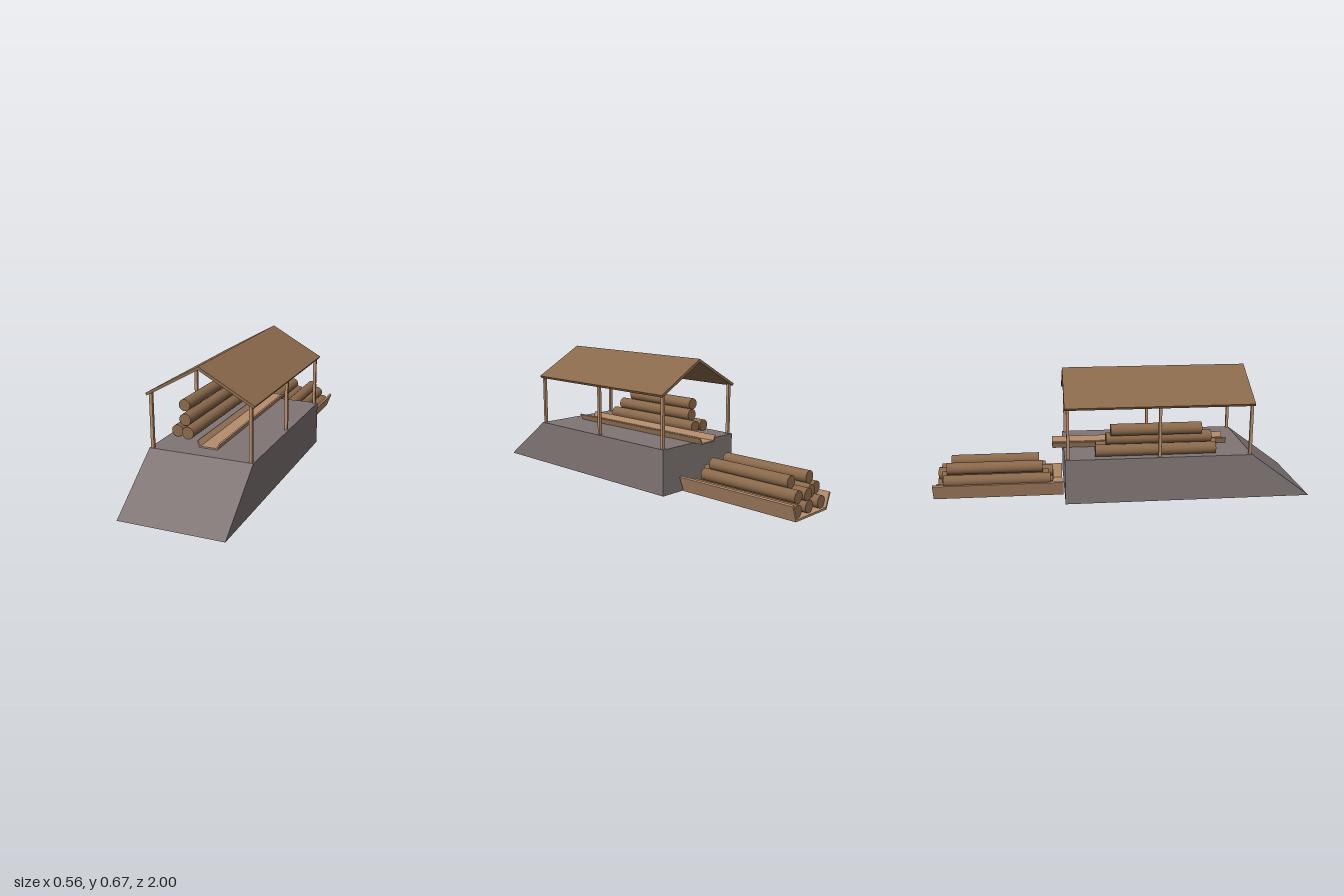
import * as THREE from 'three';

const stone = new THREE.MeshStandardMaterial({ color: 0x7f7574 });
stone.name = 'stone grey';
const darkWood = new THREE.MeshStandardMaterial({ color: 0x8a694b });
darkWood.name = 'dark wood';
const lightWood = new THREE.MeshStandardMaterial({ color: 0xb58d6c });
lightWood.name = 'light wood';

// Extrudes a 2D outline along z between two z positions
function prism(points, z0, z1) {
  const shape = new THREE.Shape(points.map(([x, y]) => new THREE.Vector2(x, y)));
  const geo = new THREE.ExtrudeGeometry(shape, { depth: z1 - z0, bevelEnabled: false });
  return geo.translate(0, 0, z0);
}

function add(parent, name, geometry, material) {
  const mesh = new THREE.Mesh(geometry, material);
  mesh.name = name;
  parent.add(mesh);
  return mesh;
}

// Mirrors the right half of an outline across x = 0
const mirrored = (half) => [...half, ...half.slice().reverse().map(([x, y]) => [-x, y])];

// Open trough with flared walls; half outline runs from bottom, up the wall, to inner floor
function troughOutline(floor, top, height, t, y) {
  return mirrored([
    [floor, y], [top, y + height - t * 0.5], [top - t, y + height], [floor - t * 0.65, y + t],
  ]);
}

// Log lying along z
function addLog(parent, [x, y, z0, z1], radius) {
  const geo = new THREE.CylinderGeometry(radius, radius, z1 - z0, 24);
  geo.rotateX(Math.PI / 2);
  add(parent, 'log', geo, darkWood).position.set(x, y, (z0 + z1) / 2);
}

export function createModel() {
  const model = new THREE.Group();
  model.name = 'logShelter';

  // Stone platform with a sloping front
  const base = prism([[-0.305, 0], [1, 0], [0.68, 0.24], [-0.305, 0.24]], -0.27, 0.27);
  add(model, 'platform', base.rotateY(-Math.PI / 2), stone);

  // Posts
  for (const x of [-0.255, 0.255]) {
    for (const z of [0.67, 0.19, -0.287]) {
      add(model, 'post', new THREE.BoxGeometry(0.016, 0.28, 0.015), lightWood)
        .position.set(x, 0.38, z);
    }
  }

  // Gabled roof
  const roof = [[0, 0.655], [0.272, 0.504], [0.279, 0.516], [0, 0.672], [-0.279, 0.516], [-0.272, 0.504]];
  add(model, 'roof', prism(roof, -0.303, 0.683), darkWood);

  // Chute on the platform and larger tray behind it
  add(model, 'chute', prism(troughOutline(0.047, 0.063, 0.035, 0.007, 0.24), -0.365, 0.587), lightWood);
  add(model, 'tray', prism(troughOutline(0.127, 0.157, 0.085, 0.01, 0), -1, -0.312), lightWood);

  // Stack on the platform: x, y, back z, front z
  const stack = new THREE.Group();
  stack.name = 'platformLogs';
  model.add(stack);
  [
    [-0.216, 0.271, -0.145, 0.49],
    [-0.152, 0.271, -0.14, 0.505],
    [-0.184, 0.326, -0.087, 0.47],
    [-0.216, 0.381, -0.065, 0.412],
  ].forEach((log) => addLog(stack, log, 0.0315));

  // Pile in the tray, row by row
  const pile = new THREE.Group();
  pile.name = 'trayLogs';
  model.add(pile);
  [
    [-0.1, 0.041, -0.985, -0.37],
    [0, 0.041, -0.985, -0.365],
    [0.1, 0.041, -0.99, -0.362],
    [-0.125, 0.098, -0.94, -0.38],
    [-0.06, 0.098, -0.955, -0.39],
    [0.003, 0.098, -0.98, -0.365],
    [0.068, 0.098, -0.97, -0.405],
    [-0.087, 0.154, -0.925, -0.42],
    [0.047, 0.154, -0.913, -0.44],
  ].forEach((log) => addLog(pile, log, 0.0315));

  return model;
}
